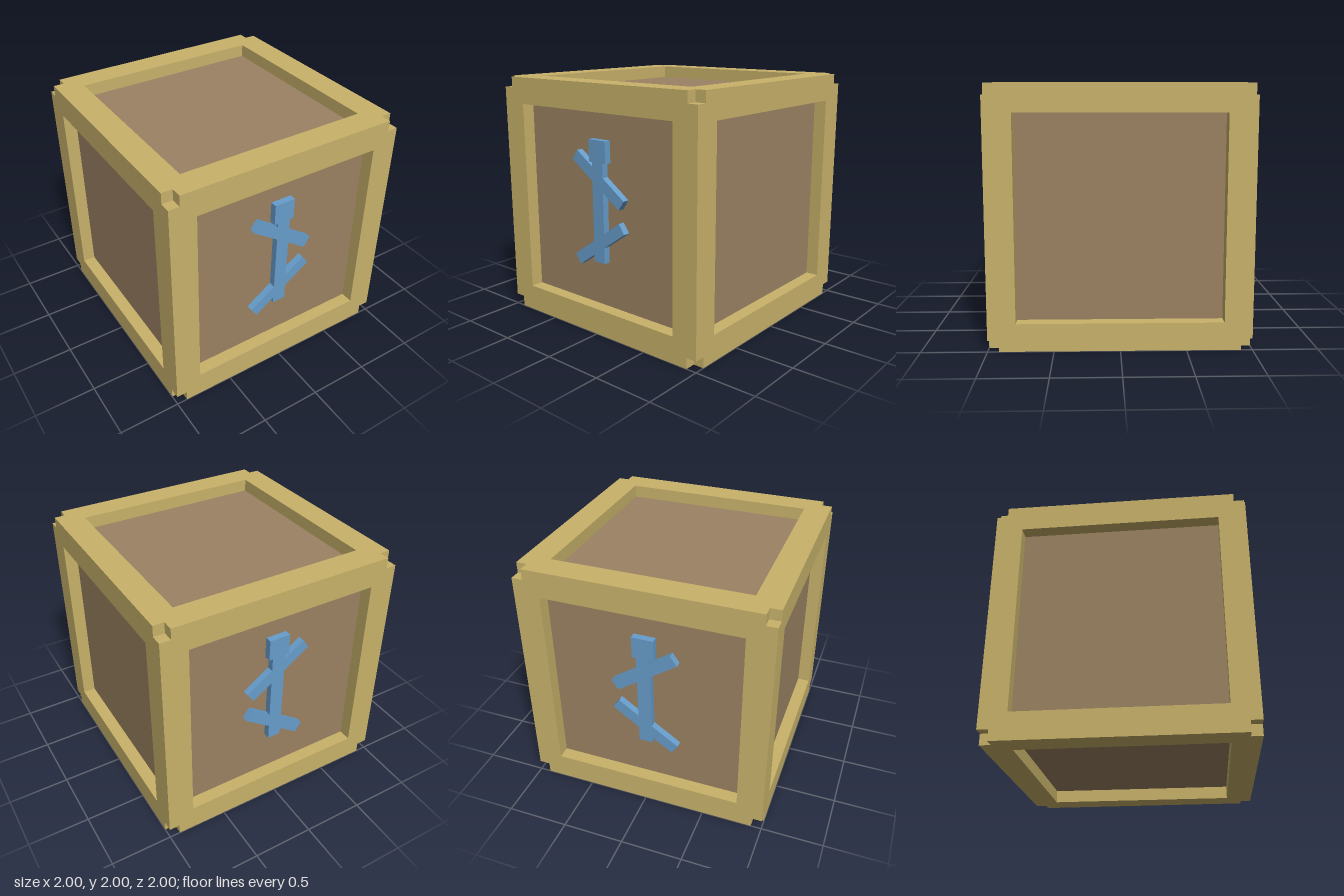
import * as THREE from 'three';

const frameMat = new THREE.MeshStandardMaterial({ name: 'sand frame', color: 0xc8b26a });
const panelMat = new THREE.MeshStandardMaterial({ name: 'brown panel', color: 0x9b8262 });
const signMat = new THREE.MeshStandardMaterial({ name: 'blue sign', color: 0x679dcb });

function box(name, size, position, material, parent) {
  const mesh = new THREE.Mesh(new THREE.BoxGeometry(...size), material);
  mesh.name = name;
  mesh.position.set(...position);
  parent.add(mesh);
  return mesh;
}

export function createModel() {
  const model = new THREE.Group();
  model.name = 'crate';
  const cube = new THREE.Group();
  cube.position.y = 1;
  model.add(cube);

  // Recessed panels: one solid core
  box('panels', [1.79, 1.79, 1.79], [0, 0, 0], panelMat, cube);

  // Twelve beams, stopping short of the ends so each corner is notched
  const frame = new THREE.Group();
  frame.name = 'frame';
  cube.add(frame);
  const thick = 0.215, length = 1.826, off = 1 - thick / 2;
  for (let axis = 0; axis < 3; axis++) {
    for (const a of [-1, 1]) {
      for (const b of [-1, 1]) {
        const size = [thick, thick, thick];
        const position = [0, 0, 0];
        size[axis] = length;
        position[(axis + 1) % 3] = a * off;
        position[(axis + 2) % 3] = b * off;
        box('frameBeam', size, position, frameMat, frame);
      }
    }
  }

  // Raised sign on the front and back panels
  for (const [name, side] of [['frontSign', 1], ['backSign', -1]]) {
    const sign = new THREE.Group();
    sign.name = name;
    sign.position.z = side * 0.915;
    cube.add(sign);
    const depth = 0.07;
    box('signStem', [0.112, 0.81, depth], [0, -0.005, 0], signMat, sign);
    box('signHead', [0.176, 0.175, depth], [0, 0.478, 0], signMat, sign);
    for (const s of [-1, 1]) {
      const bar = box('signBar', [0.593, 0.095, depth], [0, s * 0.26, 0], signMat, sign);
      bar.rotation.z = -s * THREE.MathUtils.degToRad(34.7);
    }
  }
  return model;
}
